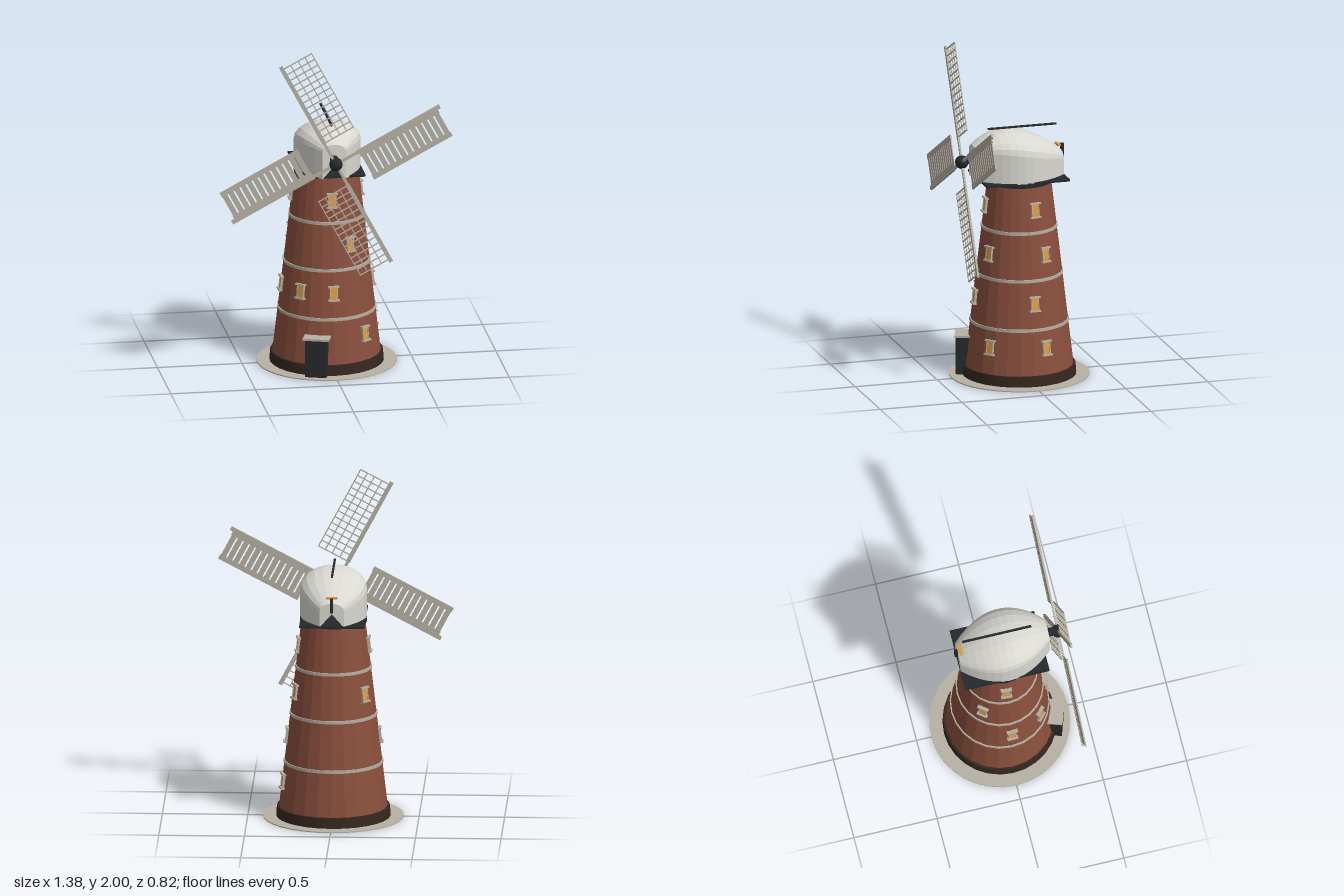
import * as THREE from 'three';

const mat = (color, extra = {}) => new THREE.MeshStandardMaterial({ color, ...extra });
const brick = mat(0x8a4f3d, { flatShading: true });
const plinthMat = mat(0x35271f);
const beige = mat(0xb7b1a3);
const dark = mat(0x26292c);
const amber = mat(0xdd9a3c);
const capMat = mat(0xd9d8d1, { flatShading: true, side: THREE.DoubleSide });

function add(parent, name, geometry, material, x = 0, y = 0, z = 0) {
  const mesh = new THREE.Mesh(geometry, material);
  mesh.name = name;
  mesh.position.set(x, y, z);
  parent.add(mesh);
  return mesh;
}
const box = (parent, name, w, h, d, material, x, y, z) =>
  add(parent, name, new THREE.BoxGeometry(w, h, d), material, x, y, z);
const group = (parent, name) => {
  const g = new THREE.Group();
  g.name = name;
  parent.add(g);
  return g;
};

const BASE_Y = 0.06, TOP_Y = 1.19, BASE_R = 0.318, TOP_R = 0.186;
const SLOPE = (BASE_R - TOP_R) / (TOP_Y - BASE_Y);
const radiusAt = y => BASE_R - (y - BASE_Y) * SLOPE;

// Tapered tower with plinth, ground disc and string courses
function addTower(root) {
  add(root, 'groundDisc', new THREE.CylinderGeometry(0.412, 0.412, 0.006, 32), beige, 0, 0.003, 0);
  add(root, 'plinth', new THREE.CylinderGeometry(0.33, 0.335, 0.065, 28), plinthMat, 0, 0.035, 0);
  add(root, 'towerWall', new THREE.CylinderGeometry(TOP_R, BASE_R, TOP_Y - BASE_Y, 24), brick,
    0, (TOP_Y + BASE_Y) / 2, 0);
  for (const y of [0.335, 0.625, 0.905]) {
    const r = radiusAt(y) + 0.006;
    add(root, 'bandCourse', new THREE.CylinderGeometry(r, r, 0.018, 24), beige, 0, y, 0);
  }
}

// Lit window with side jambs, lintel and sill, leaning with the wall
function addWindow(root, y, degrees) {
  const turn = group(root, 'window');
  turn.rotation.y = THREE.MathUtils.degToRad(degrees);
  const w = group(turn, 'windowFrame');
  w.position.set(0, y, radiusAt(y));
  w.rotation.x = -Math.atan(SLOPE);
  box(w, 'pane', 0.04, 0.075, 0.016, amber, 0, 0, 0);
  for (const s of [-1, 1]) {
    box(w, 'jamb', 0.006, 0.075, 0.022, beige, s * 0.021, 0, 0);
    box(w, s > 0 ? 'lintel' : 'sill', 0.066, 0.01, 0.036, beige, 0, s * 0.041, 0);
  }
}

// Boat-shaped cap: lofted arch sections, closed at both ends
function capGeometry() {
  const nu = 12, nv = 14, zFront = 0.285, zBack = -0.252;
  const geo = new THREE.PlaneGeometry(1, 1, nu, nv);
  const p = geo.attributes.position;
  for (let i = 0; i < p.count; i++) {
    const u = Math.round((p.getX(i) + 0.5) * nu);
    const v = Math.round((p.getY(i) + 0.5) * nv);
    const t = THREE.MathUtils.clamp((v - 1) / (nv - 2), 0, 1);
    const z = THREE.MathUtils.lerp(zFront, zBack, t);
    const half = 0.195 * (1 - 0.65 * ((z - 0.015) / 0.27) ** 2);
    const top = 1.486 - (z > 0.08 ? 1.83 : 1.3) * (z - 0.08) ** 2;
    const rise = 0.115 * half / 0.195;
    if (v === 0 || v === nv) {
      p.setXYZ(i, 0, 1.28, z); // middle of an end wall
    } else if (u === 0 || u === nu) {
      p.setXYZ(i, u ? half : -half, 1.2, z);
    } else {
      const a = Math.PI * (1 - (u - 1) / (nu - 2));
      p.setXYZ(i, half * Math.cos(a), top - rise + rise * Math.sin(a), z);
    }
  }
  geo.computeVertexNormals();
  return geo;
}

function addCap(root) {
  const cap = group(root, 'cap');
  add(cap, 'curbRing', new THREE.CylinderGeometry(0.195, 0.195, 0.03, 24), dark, 0, 1.188, 0);
  box(cap, 'capPlatform', 0.38, 0.012, 0.508, dark, 0, 1.2, 0);
  add(cap, 'capShell', capGeometry(), capMat);
  box(cap, 'ridgeRod', 0.012, 0.01, 0.415, dark, 0, 1.497, -0.018);
  box(cap, 'rearPost', 0.018, 0.085, 0.018, dark, 0, 1.332, -0.262);
  box(cap, 'rearLintel', 0.066, 0.01, 0.02, amber, 0, 1.372, -0.236);
}

// One sail: u (local y) runs out along the spar, v (local x) across the frame
function addSail(parent, angle, shuttered) {
  const sail = group(parent, shuttered ? 'shutteredSail' : 'latticeSail');
  sail.rotation.z = angle;
  const u0 = 0.15, u1 = 0.675, mid = (u0 + u1) / 2, len = u1 - u0;
  box(sail, 'sailStock', 0.016, 0.3, 0.012, beige, 0, 0.15, 0);
  box(sail, 'sailSpar', 0.024, 0.55, 0.012, beige, 0, 0.42, 0);
  const n = 13, step = len / n;
  if (shuttered) {
    box(sail, 'outerRail', 0.03, len, 0.008, beige, 0.183, mid, 0);
    box(sail, 'innerRail', 0.025, len, 0.008, beige, 0.022, mid, 0);
    for (let i = 0; i < n; i++)
      box(sail, 'shutter', 0.15, step - 0.009, 0.006, beige, 0.1, u0 + (i + 0.5) * step, 0);
  } else {
    for (const v of [0.055, 0.105, 0.15, 0.195])
      box(sail, 'latticeRail', 0.006, len, 0.006, beige, v, mid, 0);
    for (let i = 0; i <= n; i++)
      box(sail, 'latticeRung', 0.198, 0.006, 0.006, beige, 0.099, u0 + i * step, 0);
  }
}

export function createModel() {
  const root = new THREE.Group();
  root.name = 'windmill';
  addTower(root);

  const windows = [
    [1.04, [0, 100, -93]],
    [0.77, [26, 113, -128]],
    [0.49, [0, 93, -43, -88]],
    [0.225, [39, 105]],
  ];
  for (const [y, angles] of windows) for (const a of angles) addWindow(root, y, a);

  // Projecting door with a pale lintel
  const door = group(root, 'door');
  door.rotation.y = THREE.MathUtils.degToRad(-19);
  box(door, 'doorBlock', 0.125, 0.235, 0.09, dark, 0, 0.118, 0.325);
  box(door, 'doorLintel', 0.155, 0.012, 0.1, beige, 0, 0.236, 0.325);

  addCap(root);

  // Hub, windshaft and the four sails
  const rotor = group(root, 'rotor');
  rotor.position.set(0, 1.31, 0.35);
  const shaft = add(rotor, 'windshaft', new THREE.CylinderGeometry(0.025, 0.025, 0.12, 12), dark, 0, 0.01, -0.06);
  shaft.rotation.x = Math.PI / 2;
  add(rotor, 'hub', new THREE.SphereGeometry(0.04, 12, 8), dark);
  for (let i = 0; i < 4; i++)
    addSail(rotor, THREE.MathUtils.degToRad(28 + i * 90), i % 2 === 1);
  return root;
}
